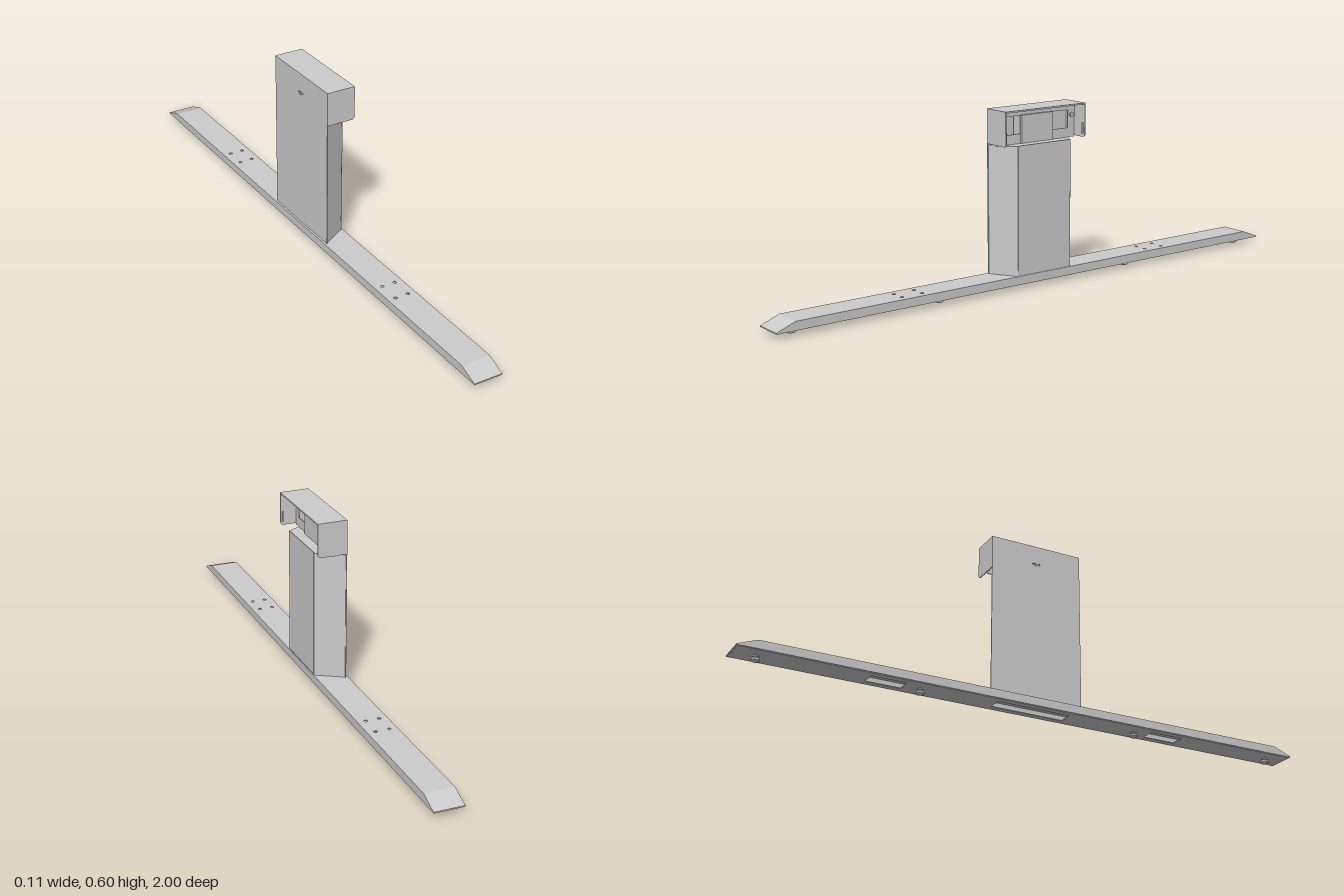
import * as THREE from 'three';

const grey = new THREE.MeshStandardMaterial({ color: 0xcccccc, side: THREE.DoubleSide });

function poly(points, Type = THREE.Shape) {
  return new Type(points.map(([a, b]) => new THREE.Vector2(a, b)));
}
function rect(a0, b0, a1, b1, Type = THREE.Shape) {
  return poly([[a0, b0], [a1, b0], [a1, b1], [a0, b1]], Type);
}
function circle(a, b, r) {
  return new THREE.Path().absarc(a, b, r, 0, Math.PI * 2, true);
}

export function createModel() {
  const model = new THREE.Group();

  function add(name, geometry, x = 0, y = 0, z = 0) {
    const mesh = new THREE.Mesh(geometry, grey);
    mesh.name = name;
    mesh.position.set(x, y, z);
    model.add(mesh);
    return mesh;
  }
  // Box given by its limits
  function box(name, x0, x1, y0, y1, z0, z1) {
    return add(name, new THREE.BoxGeometry(x1 - x0, y1 - y0, z1 - z0),
      (x0 + x1) / 2, (y0 + y1) / 2, (z0 + z1) / 2);
  }
  function extrude(shape, depth) {
    return new THREE.ExtrudeGeometry(shape, { depth, bevelEnabled: false, curveSegments: 12 });
  }
  // Plan outline (x, -z) raised from y0 to y1
  function slab(name, shape, y0, y1) {
    return add(name, extrude(shape, y1 - y0).rotateX(-Math.PI / 2), 0, y0, 0);
  }
  // Side outline (-z, y) swept from x0 to x1
  function sweep(name, shape, x0, x1) {
    return add(name, extrude(shape, x1 - x0).rotateY(Math.PI / 2), x0, 0, 0);
  }

  // Hollow base beam: perforated top, side walls, sloping ends, windowed bottom
  const top = rect(-0.055, -0.935, 0.045, 0.935);
  const bottom = rect(-0.052, -0.995, 0.042, 0.995);
  for (const s of [-1, 1]) {
    for (const z of [0.47, 0.545]) {
      for (const x of [-0.028, 0.018]) top.holes.push(circle(x, s * z, 0.006));
    }
    bottom.holes.push(rect(-0.03, s * 0.505 - 0.06, 0.02, s * 0.505 + 0.06, THREE.Path));
  }
  bottom.holes.push(rect(-0.03, -0.13, 0.02, 0.13, THREE.Path));
  slab('baseTop', top, 0.044, 0.047);
  slab('baseBottom', bottom, 0.017, 0.02);
  const wall = [[-1, 0.019], [1, 0.019], [1, 0.022], [0.935, 0.047], [-0.935, 0.047], [-1, 0.022]];
  sweep('baseWallRight', poly(wall), -0.055, -0.052);
  sweep('baseWallLeft', poly(wall), 0.042, 0.045);
  for (const s of [-1, 1]) {
    const end = [[0.935, 0.044], [0.935, 0.047], [1, 0.022], [1, 0.018], [0.99, 0.018]];
    sweep('baseEnd', poly(end.map(([z, y]) => [s * z, y])), -0.055, 0.045);
  }

  // Levelling feet
  const footProfile = [[0, 0], [0.013, 0], [0.0145, 0.002], [0.0145, 0.006], [0.011, 0.009],
    [0.006, 0.009], [0.006, 0.012], [0.01, 0.012], [0.01, 0.016], [0.006, 0.016], [0.006, 0.024], [0, 0.024]];
  for (const z of [-0.925, -0.39, 0.39, 0.925]) {
    add('foot', new THREE.LatheGeometry(footProfile.map(([r, y]) => new THREE.Vector2(r, y)), 20), -0.005, 0, z);
  }

  // Tapered column and its front cover panel
  slab('column', poly([[-0.046, -0.163], [0.04, -0.112], [0.042, -0.109],
    [0.042, 0.109], [0.04, 0.112], [-0.046, 0.163]]), 0.047, 0.478);
  box('columnCover', 0.041, 0.044, 0.05, 0.48, -0.108, 0.108);

  // Full-height rear panel with a small slot and lever
  const rear = rect(-0.165, 0.047, 0.165, 0.595);
  rear.holes.push(rect(-0.014, 0.528, 0.014, 0.533, THREE.Path));
  sweep('rearPanel', rear, -0.048, -0.045);
  box('lever', -0.051, -0.043, 0.525, 0.534, -0.004, 0.004);

  // Head cover: top plate and two cheeks with a rounded lower corner
  box('headTop', -0.048, 0.053, 0.592, 0.597, -0.165, 0.165);
  const cheek = new THREE.Shape();
  cheek.moveTo(-0.048, 0.482);
  cheek.lineTo(0.043, 0.482);
  cheek.absarc(0.043, 0.492, 0.01, -Math.PI / 2, 0, false);
  cheek.lineTo(0.053, 0.595);
  cheek.lineTo(-0.048, 0.595);
  for (const z of [-0.165, 0.162]) add('headCheek', extrude(cheek, 0.003), 0, 0, z);

  // Inner bracket with two windows, fixing screws, edge tabs and a centre block
  const bracket = rect(-0.162, 0.478, 0.162, 0.592);
  for (const s of [-1, 1]) {
    bracket.holes.push(rect(s * 0.1 - 0.034, 0.51, s * 0.1 + 0.034, 0.57, THREE.Path));
  }
  sweep('headBracket', bracket, -0.005, -0.002);
  box('centreBlock', -0.04, 0.006, 0.479, 0.572, -0.064, 0.064);
  for (const s of [-1, 1]) {
    add('bracketScrew', new THREE.CylinderGeometry(0.008, 0.008, 0.005, 16).rotateZ(Math.PI / 2), 0, 0.553, s * 0.15);
    box('edgeTab', 0.045, 0.047, 0.495, 0.53, s * 0.159 - 0.004, s * 0.159 + 0.004);
  }

  return model;
}
